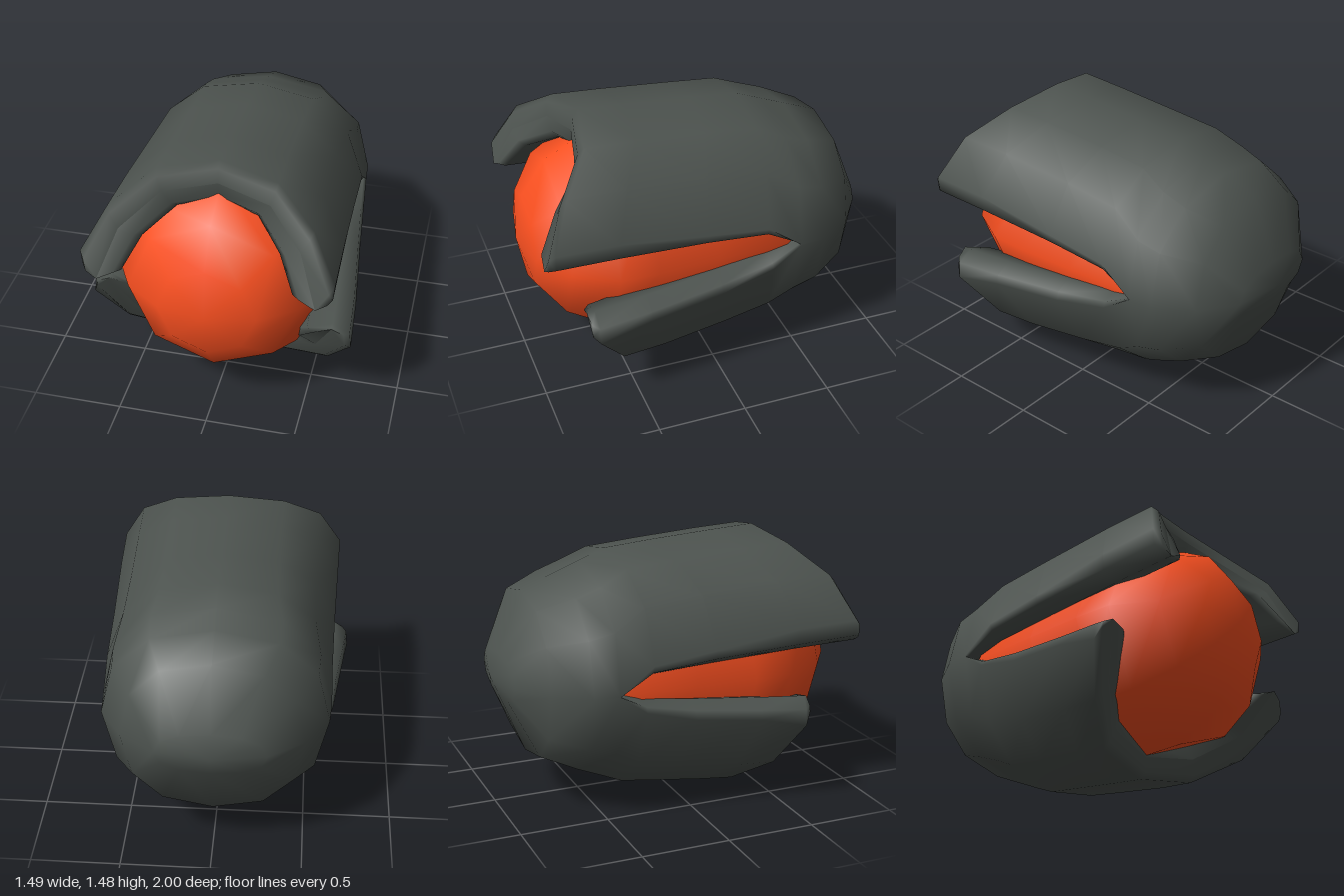
import * as THREE from 'three';

const CY = 0.75;     // height of the long axis
const SLIT = -0.47;  // z where the side slits begin
const ACROSS = 6;    // facets across each half shell
const MID = 0.84;    // middle of the wall, relative to the outside
const INNER = 0.675; // inside of the wall

// piecewise linear curve through [x, y] points
function curve(points, x) {
  if (x <= points[0][0]) return points[0][1];
  for (let i = 1; i < points.length; i++) {
    const [x0, y0] = points[i - 1], [x1, y1] = points[i];
    if (x <= x1) return y0 + (y1 - y0) * (x - x0) / (x1 - x0);
  }
  return points[points.length - 1][1];
}

// skew shortens the lower shell a little on the -x side
const back = [[-1, 0], [-0.95, 0.3], [-0.8, 0.51], [-0.6, 0.63], [SLIT, 0.635]];
const UPPER = {
  sign: 1,
  skew: 0,
  width: [...back, [0.95, 0.71]],
  height: [[-1, 0], [-0.95, 0.125], [-0.81, 0.47], [-0.3, 0.67], [0.58, 0.73]],
  gap: [[SLIT, 0], [-0.3, 0.085], [0.3, 0.135], [0.97, 0.165]],
  rim: [[0.19, 0.98], [0.605, 0.87], [0.896, 0.71], [1, 0.65]],
};
const LOWER = {
  sign: -1,
  skew: 0.14,
  width: [...back, [0.65, 0.785]],
  height: [[-1, 0], [-0.95, 0.125], [-0.83, 0.46], [-0.37, 0.67], [0.28, 0.75]],
  gap: [[SLIT, 0], [-0.33, 0.06], [0.1, 0.115], [0.77, 0.17]],
  rim: [[0.19, 0.78], [0.605, 0.61], [0.896, 0.42], [1, 0.34]],
};

// stations along the shell: position, distance behind the rim, wall fullness
const STATIONS = [
  [-1, 0, 1], [-0.95, 0, 1], [-0.81, 0, 1], [-0.61, 0, 1], [SLIT, 0, 1],
  [-0.27, 0, 1], [0.1, 0, 1], [0.6, 0, 1], [1, 0.045, 1], [1, 0.01, 0.7], [1, 0, 0],
];

function halfShell({ sign, skew, width, height, gap, rim }) {
  const pos = [], index = [];
  // closed loop: outer wall, rounded edge, inner wall, rounded edge
  const loop = [];
  for (let j = 0; j <= ACROSS; j++) loop.push([j / ACROSS, 1, 1]);
  loop.push([1, 0.97, 0.4], [1, MID, 0]);
  for (let j = ACROSS; j >= 0; j--) loop.push([j / ACROSS, INNER, 1]);
  loop.push([0, MID, 0], [0, 0.97, 0.4]);
  const n = loop.length;

  for (const [z0, behind, full] of STATIONS) {
    for (const [u, wall, rounded] of loop) {
      const s = MID + (wall - MID) * full;
      const end = curve(rim, Math.sin(Math.PI * (0.06 + 0.88 * u))) - behind
        - skew * Math.max(0, 2 * u - 1);
      const z = z0 <= SLIT ? z0 : SLIT + (z0 - SLIT) / (1 - SLIT) * (end - SLIT);
      const rx = curve(width, z), ry = curve(height, z);
      const open = THREE.MathUtils.clamp((z - SLIT) / 0.25, 0, 1);
      const from = Math.asin(Math.min(1, curve(gap, z) / (ry + 1e-6)))
        + 0.11 * open * rounded * full;
      const a = from + (Math.PI - 2 * from) * u;
      const c = Math.cos(a), sn = Math.max(0, Math.sin(a));
      pos.push(
        s * rx * Math.sign(c) * Math.abs(c) ** 0.85,
        CY + sign * s * ry * sn ** (sn < 0.3 ? 1 : 0.87),
        z);
    }
  }
  for (let i = 0; i < STATIONS.length - 1; i++) {
    for (let j = 0; j < n; j++) {
      const a = i * n + j, b = i * n + (j + 1) % n, c = b + n, d = a + n;
      if (sign > 0) index.push(a, b, c, a, c, d);
      else index.push(a, c, b, a, d, c);
    }
  }
  const geo = new THREE.BufferGeometry();
  geo.setAttribute('position', new THREE.Float32BufferAttribute(pos, 3));
  geo.setIndex(index);
  geo.computeVertexNormals();

  // smooth the joint of both halves behind the slit, and the back tip
  const normal = geo.attributes.normal, v = new THREE.Vector3();
  STATIONS.forEach(([z0], i) => {
    if (z0 > SLIT) return;
    for (let j = 0; j < n; j++) {
      if (i === 0) normal.setXYZ(j, 0, 0, -1);
      else if (j === 0 || j === ACROSS) {
        v.fromBufferAttribute(normal, i * n + j).setY(0).normalize();
        normal.setXYZ(i * n + j, v.x, v.y, v.z);
      }
    }
  });
  return geo;
}

// eight-sided rounded core, with a smooth front tip
function coreGeometry() {
  const profile = [
    [0, -0.75], [0.25, -0.72], [0.45, -0.6], [0.57, -0.42], [0.59, 0],
    [0.605, 0.35], [0.6, 0.57], [0.47, 0.81], [0.27, 0.95], [0, 1],
  ].map(([r, z]) => new THREE.Vector2(r, z));
  const geo = new THREE.LatheGeometry(profile, 8);
  const { position, normal } = geo.attributes;
  for (let i = 0; i < position.count; i++) {
    if (position.getY(i) === 1) normal.setXYZ(i, 0, 1, 0);
  }
  return geo.rotateX(Math.PI / 2);
}

export function createModel() {
  const model = new THREE.Group();
  model.name = 'shelledSeed';
  const shellMaterial = new THREE.MeshStandardMaterial({ color: 0x4d534f });
  const coreMaterial = new THREE.MeshStandardMaterial({ color: 0xfc5020 });

  // thick split shell, open at the front
  for (const [name, half] of [['upperShell', UPPER], ['lowerShell', LOWER]]) {
    const mesh = new THREE.Mesh(halfShell(half), shellMaterial);
    mesh.name = name;
    model.add(mesh);
  }

  const core = new THREE.Mesh(coreGeometry(), coreMaterial);
  core.name = 'core';
  core.position.y = 0.735;
  model.add(core);
  return model;
}
